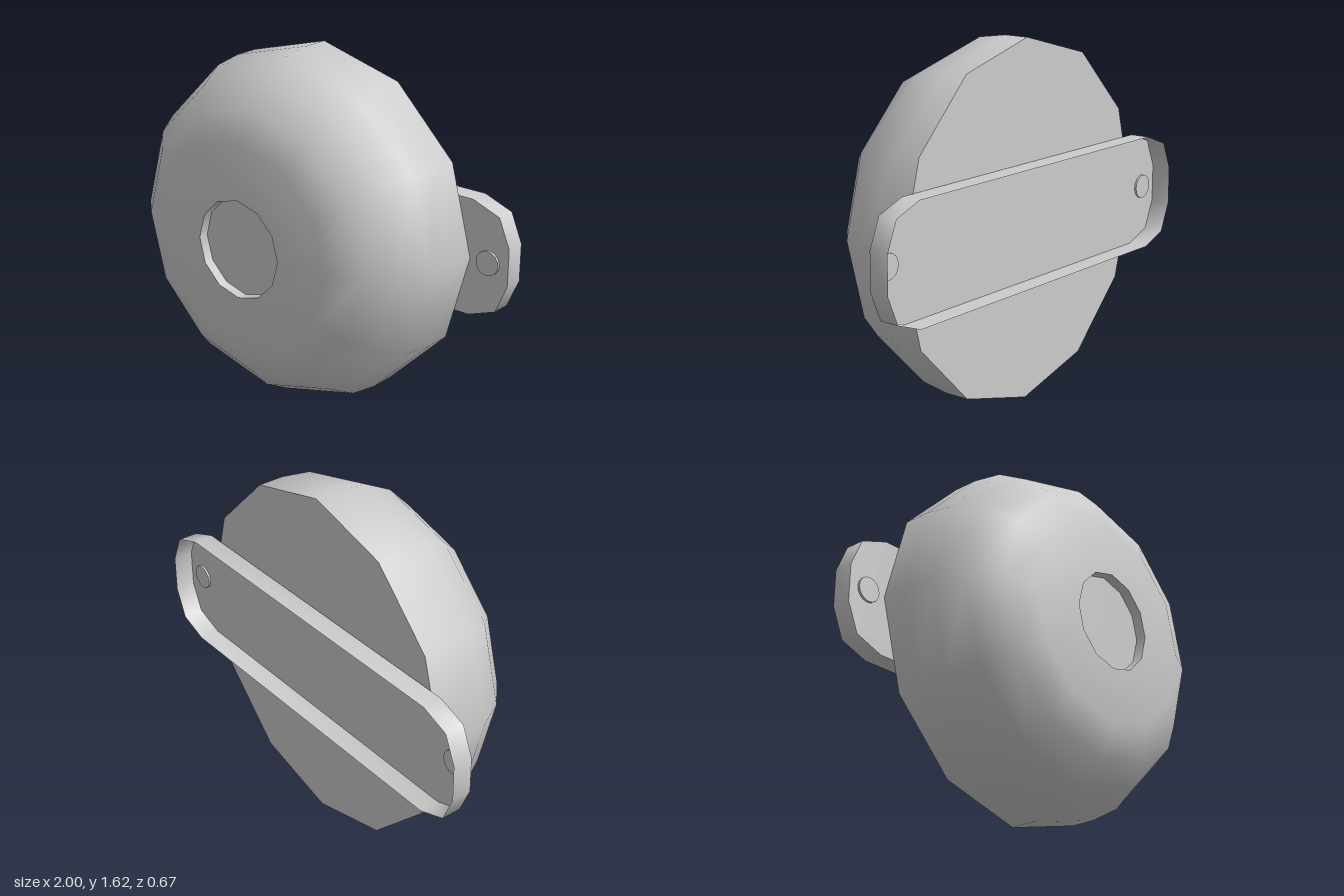
import * as THREE from 'three';
import { toCreasedNormals } from 'three/addons/utils/BufferGeometryUtils.js';

const CENTER_Y = 0.81;

export function createModel() {
  const group = new THREE.Group();
  const solid = new THREE.MeshStandardMaterial({ color: 0xcccccc });
  const thin = new THREE.MeshStandardMaterial({ color: 0xcccccc, side: THREE.DoubleSide });

  const add = (name, geometry, material, x = 0, z = 0) => {
    const mesh = new THREE.Mesh(geometry, material);
    mesh.name = name;
    mesh.position.set(x, CENTER_Y, z);
    group.add(mesh);
  };

  // Twelve-sided turned part; profile points are [radius, z]
  const turned = (name, profile) => {
    const points = profile.map(([r, z]) => new THREE.Vector2(r, z));
    add(name, new THREE.LatheGeometry(points, 12).rotateX(Math.PI / 2), solid);
  };

  // Rounded dome, its flat back, and the shallow round recess in front
  turned('domeShell', [
    [0.81, -0.24], [0.81, -0.12], [0.79, 0.02], [0.72, 0.15],
    [0.61, 0.255], [0.475, 0.32], [0.225, 0.337],
  ]);
  turned('domeBack', [[0, -0.24], [0.81, -0.24]]);
  turned('recessWall', [[0.225, 0.337], [0.225, 0.29]]);
  turned('recessFloor', [[0.225, 0.29], [0, 0.29]]);

  // Mounting bracket: a thin tray with faceted round ends, open at the back
  const end = [[0.81, -0.265], [0.945, -0.215], [1, -0.085], [1, 0.085], [0.945, 0.215], [0.81, 0.265]];
  const outline = [...end, ...end.map(([x, y]) => [-x, -y])];
  const plateZ = -0.244, backZ = -0.337;
  const shape = new THREE.Shape(outline.map(([x, y]) => new THREE.Vector2(x, y)));
  add('bracketPlate', new THREE.ShapeGeometry(shape), thin, 0, plateZ);

  // Bracket wall: a strip wrapped around the outline
  const count = outline.length;
  const wall = new THREE.PlaneGeometry(1, 1, count, 1);
  const position = wall.attributes.position;
  for (let i = 0; i < position.count; i++) {
    const [x, y] = outline[(i % (count + 1)) % count];
    position.setXYZ(i, x, y, i <= count ? plateZ : backZ);
  }
  add('bracketWall', toCreasedNormals(wall, 0.9), thin);

  // Low screw heads on both ends of the bracket
  for (const side of [-1, 1]) {
    const head = new THREE.CylinderGeometry(0.056, 0.056, 0.02, 16).rotateX(Math.PI / 2);
    head.translate(0, 0, 0.01);
    add(side > 0 ? 'leftScrew' : 'rightScrew', head, solid, side * 0.9, plateZ - 0.009);
  }

  return group;
}
